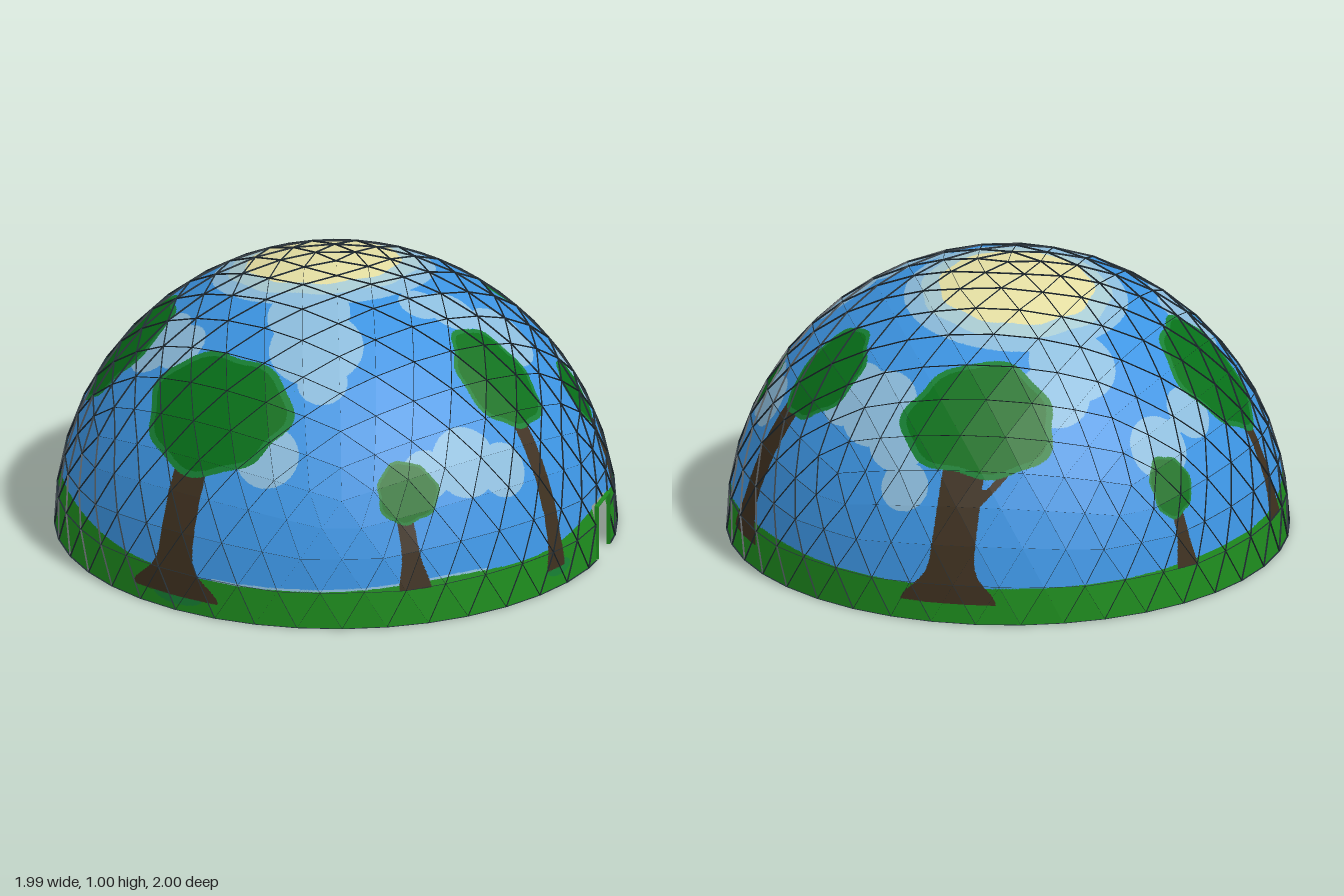
import * as THREE from 'three';

const RAD = Math.PI / 180, FREQ = 8, SHELL = 0.9935, MIN_DEPTH = 1, MAX_DEPTH = 5;
const DOOR_HALF = 0.073, DOOR_TOP = 0.2;

const material = (name, color) =>
  new THREE.MeshStandardMaterial({ name, color, side: THREE.DoubleSide });

// Point on the unit sphere; azimuth runs from +x towards +z, in degrees
const dir = (az, el) => new THREE.Vector3(
  Math.cos(el * RAD) * Math.cos(az * RAD), Math.sin(el * RAD), Math.cos(el * RAD) * Math.sin(az * RAD));

// Trees: crown [azimuth, elevation, half width, half height],
// limbs [az bottom, az top, y bottom, y top, half width, root flare]
const trees = [
  { crown: [110, 42.5, 0.295, 0.235], limbs: [[109, 110, 0.05, 0.56, 0.074, 1.5]], tuft: true },
  { crown: [56.5, 27.5, 0.114, 0.113], limbs: [[56.5, 58, 0.13, 0.42, 0.033, 0.8]] },
  { crown: [17, 46, 0.165, 0.215], limbs: [[21, 19.5, 0.07, 0.62, 0.036, 0.4]], tuft: true },
  { crown: [-15.5, 31, 0.115, 0.125], limbs: [[-16, -15, 0.14, 0.46, 0.028, 0.6]] },
  { crown: [-49.5, 44.5, 0.168, 0.2], limbs: [[-43, -46, 0.08, 0.62, 0.06, 0.9]] },
  { crown: [-106.5, 43, 0.275, 0.225],
    limbs: [[-102, -104, 0.07, 0.56, 0.083, 1.1], [-105, -114, 0.38, 0.52, 0.018, 0]] },
  { crown: [169, 41.5, 0.23, 0.245], limbs: [[171, 169.5, 0.13, 0.56, 0.034, 0.8]] },
  { crown: [-154.5, 24.5, 0.09, 0.113], limbs: [[-155, -154.5, 0.13, 0.36, 0.026, 0.7]] },
];
trees.forEach((t) => {
  const [az, el] = t.crown;
  t.out = dir(az, el);
  t.up = dir(az, el + 90);
  t.side = dir(az - 90, 0);
});

// Cloud puffs as [x, z, radius] on the sphere
const puffs = [
  [-0.08, -0.1, 0.41], [-0.43, -0.38, 0.16], [-0.42, -0.52, 0.13], [0.0, 0.34, 0.15],
  [0.07, 0.48, 0.17], [0.13, 0.6, 0.09], [-0.01, 0.82, 0.115], [0.45, 0.06, 0.1], [0.62, -0.02, 0.14],
  [0.35, 0.12, 0.08], [0.18, -0.72, 0.15], [0.31, -0.66, 0.13], [0.06, -0.8, 0.12], [0, -0.89, 0.09],
  [-0.56, 0.33, 0.14], [-0.45, 0.42, 0.1], [0.65, 0.55, 0.13], [0.54, 0.67, 0.09], [0.76, 0.45, 0.1],
  [0.78, -0.35, 0.11], [0.72, -0.46, 0.1], [-0.78, -0.15, 0.1], [-0.76, -0.36, 0.12],
].map(([x, z, r]) => ({ c: new THREE.Vector3(x, Math.sqrt(1 - x * x - z * z), z), r }));
const sunCentre = puffs[0].c;

// Grass hills as [azimuth, spread, height]
const hills = [[152, 26, 0.068], [2, 18, 0.06], [48, 18, 0.025], [-50, 20, 0.025], [-165, 20, 0.02]];
function grassHeight(az) {
  return hills.reduce((h, [a, w, k]) => {
    const d = (az - a + 540) % 360 - 180;
    return h + k * Math.exp(-d * d / (w * w));
  }, 0.133);
}

function crownRadius(t, p, i) {
  if (p.dot(t.out) < 0.3) return 9;
  const a = p.dot(t.side) / t.crown[2], b = p.dot(t.up) / t.crown[3], f = Math.atan2(b, a);
  return Math.hypot(a, b) / (1 + 0.05 * Math.sin(3 * f + i * 2) + 0.035 * Math.sin(7 * f + i));
}

// Sideways distance from the vertical plane at an azimuth
function offset(p, az) {
  const c = dir(az, 0);
  return p.x * c.x + p.z * c.z < 0 ? 9 : Math.abs(p.x * c.z - p.z * c.x);
}

function onLimb([a0, a1, y0, y1, w, flare], p) {
  if (p.y < y0 || p.y > y1) return false;
  const k = (p.y - y0) / (y1 - y0);
  return offset(p, a0 + (a1 - a0) * k) < w * (1 + flare * Math.exp(-(((p.y - y0) / 0.08) ** 2)) - 0.1 * k);
}

function onTuft(t, p) {
  const [az, , y0, , w] = t.limbs[0];
  return t.tuft && Math.hypot(offset(p, az - 1) / (w + 0.03), (p.y - y0) / 0.03) < 1;
}

// Which painted area a point of the dome belongs to
function paintAt(point) {
  const p = point.clone().normalize();
  if (p.x > 0 && Math.abs(point.z) < DOOR_HALF && point.y < DOOR_TOP) return 'door';
  let rim = false;
  for (let i = 0; i < trees.length; i++) {
    const r = crownRadius(trees[i], p, i);
    if (r < 0.91) return 'leaves';
    if (r < 1) rim = true;
  }
  if (rim) return 'leafRim';
  if (trees.some((t) => t.limbs.some((l) => onLimb(l, p)))) return 'trunks';
  if (trees.some((t) => onTuft(t, p))) return 'leafRim';
  const az = Math.atan2(p.z, p.x) / RAD, above = p.y - grassHeight(az);
  if (above < 0) return 'grass';
  if (above < 0.008 && az > 40 && az < 100) return 'clouds';
  const s = p.distanceTo(sunCentre) + 0.006 * Math.sin(9 * Math.atan2(p.z + 0.1, p.x + 0.08));
  if (s < 0.28) return 'sun';
  if (s < 0.345) return 'sunGlow';
  return puffs.some(({ c, r }) => p.distanceTo(c) < r) ? 'clouds' : 'sky';
}

// Flat facets of a geodesic half sphere with one corner at the top
function geodesicFacets() {
  const lat = Math.atan(0.5) / RAD, top = dir(0, 90), faces = [];
  for (let k = 0; k < 5; k++) {
    const u0 = dir(72 * k, lat), u1 = dir(72 * k + 72, lat);
    const l0 = dir(72 * k + 36, -lat), l1 = dir(72 * k + 108, -lat);
    faces.push([top, u1, u0], [u0, u1, l0], [u1, l1, l0]);
  }
  const facets = [];
  for (const [a, b, c] of faces) {
    const at = (i, j) => new THREE.Vector3().addScaledVector(a, FREQ - i - j)
      .addScaledVector(b, i).addScaledVector(c, j).normalize();
    for (let i = 0; i < FREQ; i++) for (let j = 0; j < FREQ - i; j++) {
      facets.push([at(i, j), at(i + 1, j), at(i, j + 1)]);
      if (i + j < FREQ - 1) facets.push([at(i + 1, j), at(i + 1, j + 1), at(i, j + 1)]);
    }
  }
  return facets.filter((f) => f.every((v) => v.y > -1e-4));
}

// Split a facet only where the paint changes, and sort the pieces by colour
function paintFacet(a, b, c, depth, areas) {
  const mid = (p, q) => p.clone().add(q).multiplyScalar(0.5);
  const ab = mid(a, b), bc = mid(b, c), ca = mid(c, a);
  const centre = a.clone().add(b).add(c).divideScalar(3), kind = paintAt(centre);
  const mixed = depth < MIN_DEPTH || [a, b, c, ab, bc, ca].some((p) => paintAt(p) !== kind);
  if (mixed && depth < MAX_DEPTH) {
    for (const t of [[a, ab, ca], [ab, b, bc], [ca, bc, c], [ab, bc, ca]]) paintFacet(...t, depth + 1, areas);
  } else if (kind !== 'door') {
    (areas[kind] ??= []).push(...a.toArray(), ...b.toArray(), ...c.toArray());
  }
}

function meshFrom(name, positions, mat) {
  const g = new THREE.BufferGeometry();
  g.setAttribute('position', new THREE.Float32BufferAttribute(positions, 3));
  g.computeVertexNormals();
  const mesh = new THREE.Mesh(g, mat);
  mesh.name = name;
  return mesh;
}

export function createModel() {
  const group = new THREE.Group();
  group.name = 'paintedDome';
  const mats = {
    sky: material('sky blue', 0x3c94e2),
    clouds: material('cloud blue', 0x8cbcdc),
    sunGlow: material('sun glow', 0xa9cbd2),
    sun: material('sun yellow', 0xe4dea2),
    leaves: material('leaf green', 0x077019),
    leafRim: material('leaf rim green', 0x178034),
    trunks: material('bark brown', 0x3e301f),
    grass: material('grass green', 0x1e8c1e),
  };
  const dark = material('strut dark', 0x1f2b33);

  // Painted shell
  const facets = geodesicFacets(), areas = {};
  for (const f of facets) paintFacet(...f.map((v) => v.clone().multiplyScalar(SHELL)), 0, areas);
  for (const [name, positions] of Object.entries(areas)) group.add(meshFrom(name, positions, mats[name]));

  // Thin fins standing on every facet edge
  const seen = new Set(), fins = [], key = (v) => v.toArray().map((n) => Math.round(n * 1000) + 0).join();
  for (const f of facets) for (let i = 0; i < 3; i++) {
    const p = f[i], q = f[(i + 1) % 3], id = [key(p), key(q)].sort().join('|');
    if (seen.has(id)) continue;
    seen.add(id);
    for (let s = 0; s < 4; s++) {
      const a = p.clone().lerp(q, s / 4), b = p.clone().lerp(q, (s + 1) / 4);
      if (paintAt(a.clone().lerp(b, 0.5)) === 'door') continue;
      const [a0, b0] = [a, b].map((v) => v.clone().multiplyScalar(SHELL).toArray());
      const [a1, b1] = [a.toArray(), b.toArray()];
      fins.push(...a0, ...b0, ...b1, ...a0, ...b1, ...a1);
    }
  }
  group.add(meshFrom('struts', fins, dark));

  // Doorway lining
  const frame = new THREE.Group();
  frame.name = 'doorFrame';
  const bar = (h, w, y, z) => {
    const m = new THREE.Mesh(new THREE.BoxGeometry(0.015, h, w), mats.grass);
    m.position.set(0.986, y, z);
    frame.add(m);
  };
  for (const s of [-1, 1]) bar(DOOR_TOP, 0.004, DOOR_TOP / 2, s * DOOR_HALF);
  bar(0.004, DOOR_HALF * 2, DOOR_TOP, 0);
  group.add(frame);
  return group;
}
